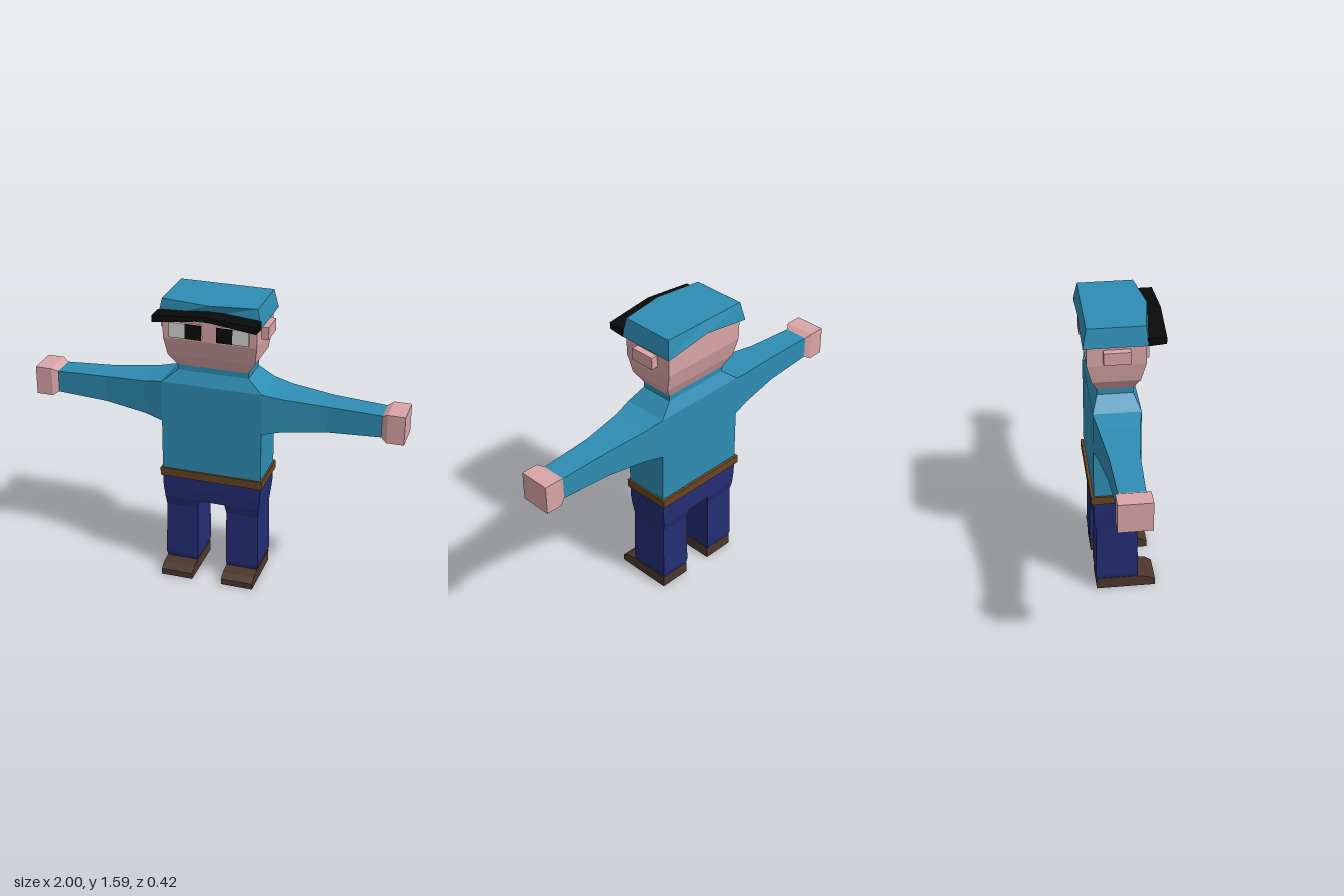
import * as THREE from 'three';

const mat = (name, color) => {
  const m = new THREE.MeshStandardMaterial({ color });
  m.name = name;
  return m;
};

// Joins rings of points (counter-clockwise seen from the far end) into a closed, faceted solid
function loft(rings) {
  const out = [], n = rings[0].length;
  const tri = (...pts) => pts.forEach((p) => out.push(...p));
  for (let r = 0; r < rings.length - 1; r++) {
    const a = rings[r], b = rings[r + 1];
    for (let i = 0; i < n; i++) {
      const j = (i + 1) % n;
      tri(a[i], a[j], b[j]);
      tri(a[i], b[j], b[i]);
    }
  }
  const first = rings[0], last = rings[rings.length - 1];
  for (let i = 1; i < n - 1; i++) {
    tri(first[0], first[i + 1], first[i]);
    tri(last[0], last[i], last[i + 1]);
  }
  const g = new THREE.BufferGeometry();
  g.setAttribute('position', new THREE.Float32BufferAttribute(out, 3));
  g.computeVertexNormals();
  return g;
}

// Rectangular sections stacked upward: [y, x0, x1, z0, z1]
const loftY = (s) => loft(s.map(([y, x0, x1, z0, z1]) =>
  [[x0, y, z1], [x1, y, z1], [x1, y, z0], [x0, y, z0]]));

// Rectangular sections running outward: [x, y0, y1, z0, z1]
const loftX = (s) => loft(s.map(([x, y0, y1, z0, z1]) =>
  [[x, y0, z1], [x, y0, z0], [x, y1, z0], [x, y1, z1]]));

// Box given by its limits
const box = (x0, x1, y0, y1, z0, z1) => loftY([[y0, x0, x1, z0, z1], [y1, x0, x1, z0, z1]]);

// Reflects a faceted solid across x = 0, keeping its faces outward
function mirror(geometry) {
  const p = geometry.getAttribute('position'), out = [];
  for (let i = 0; i < p.count; i += 3) {
    for (const k of [i, i + 2, i + 1]) out.push(-p.getX(k), p.getY(k), p.getZ(k));
  }
  const g = new THREE.BufferGeometry();
  g.setAttribute('position', new THREE.Float32BufferAttribute(out, 3));
  g.computeVertexNormals();
  return g;
}

export function createModel() {
  const model = new THREE.Group();
  model.name = 'figure';
  const shirt = mat('shirt blue', 0x2e8db3);
  const skin = mat('skin', 0xd9a5a7);
  const navy = mat('trouser navy', 0x242d74);
  const leather = mat('belt brown', 0x694522);
  const shoeBrown = mat('shoe brown', 0x4c362c);
  const black = mat('black', 0x0a0a0a);
  const white = mat('eye white', 0xd6d6d6);

  const add = (name, geometry, material) => {
    const mesh = new THREE.Mesh(geometry, material);
    mesh.name = name;
    model.add(mesh);
  };
  const addPair = (name, geometry, material) => {
    add('left' + name, geometry, material);
    add('right' + name, mirror(geometry), material);
  };

  // Torso with sloping shoulders and collar
  add('torso', loftY([
    [0.6, -0.27, 0.27, -0.165, 0.08],
    [1.12, -0.27, 0.27, -0.165, 0.08],
    [1.185, -0.19, 0.19, -0.135, 0.047],
    [1.215, -0.19, 0.19, -0.135, 0.047],
  ]), shirt);
  add('belt', box(-0.28, 0.28, 0.575, 0.62, -0.18, 0.09), leather);

  // Arms and blocky hands
  addPair('Arm', loftX([
    [0.26, 0.895, 1.12, -0.165, 0.08],
    [0.27, 0.895, 1.12, -0.165, 0.08],
    [0.37, 0.915, 1.1, -0.15, 0.06],
    [0.6, 0.937, 1.08, -0.123, 0.03],
    [0.88, 0.948, 1.067, -0.112, 0.02],
  ]), shirt);
  addPair('Hand', loftX([
    [0.88, 0.948, 1.067, -0.112, 0.02],
    [0.91, 0.93, 1.085, -0.128, 0.04],
    [1, 0.93, 1.085, -0.128, 0.04],
  ]), skin);

  // Trousers
  add('hips', loftY([
    [0.44, -0.26, 0.26, -0.163, 0.075],
    [0.51, -0.268, 0.268, -0.165, 0.08],
    [0.59, -0.27, 0.27, -0.165, 0.08],
  ]), navy);
  addPair('Leg', loftY([
    [0.06, 0.085, 0.253, -0.15, 0.063],
    [0.09, 0.08, 0.26, -0.157, 0.07],
    [0.39, 0.08, 0.255, -0.15, 0.065],
    [0.44, 0.072, 0.26, -0.163, 0.075],
  ]), navy);

  // Shoes with a bevelled toe
  const sole = [[0, 0.165], [0, -0.152], [0.065, -0.152], [0.065, 0.07], [0.055, 0.13], [0.033, 0.165]];
  addPair('Shoe', loft([0.082, 0.257].map((x) => sole.map(([y, z]) => [x, y, z]))), shoeBrown);

  // Head
  add('head', loftY([
    [1.215, -0.19, 0.19, -0.135, 0.047],
    [1.28, -0.232, 0.232, -0.165, 0.08],
    [1.38, -0.247, 0.247, -0.19, 0.105],
    [1.55, -0.25, 0.25, -0.19, 0.105],
  ]), skin);
  addPair('Ear', box(0.24, 0.285, 1.402, 1.468, -0.11, 0.025), skin);

  // Eyes: raised blocks with thin painted fronts
  addPair('EyeBlock', box(0.04, 0.21, 1.393, 1.473, 0.1, 0.118), skin);
  addPair('EyeWhite', box(0.125, 0.21, 1.393, 1.473, 0.118, 0.122), white);
  addPair('Pupil', box(0.04, 0.125, 1.393, 1.473, 0.118, 0.122), black);

  // Cap: lower edge arched at front and back, front pushed out to a point
  const capRing = (x, ySide, yMid, zSide, zMid, zBack) => [
    [-x, ySide, zSide], [0, yMid, zMid], [x, ySide, zSide],
    [x, ySide, zBack], [0, yMid, zBack], [-x, ySide, zBack],
  ];
  add('cap', loft([
    capRing(0.27, 1.49, 1.53, 0.115, 0.117, -0.21),
    capRing(0.25, 1.59, 1.59, 0.1, 0.137, -0.19),
  ]), shirt);

  // Peak of the cap, arched across the brow
  add('capPeak', loft([[-0.27, 1.488, 1.532, 0.2], [0, 1.527, 1.558, 0.207], [0.27, 1.488, 1.532, 0.2]]
    .map(([x, y0, y1, z]) => [[x, y0 + 0.008, z], [x, y0, 0.108], [x, y1, 0.108], [x, y1, z]])), black);

  return model;
}
